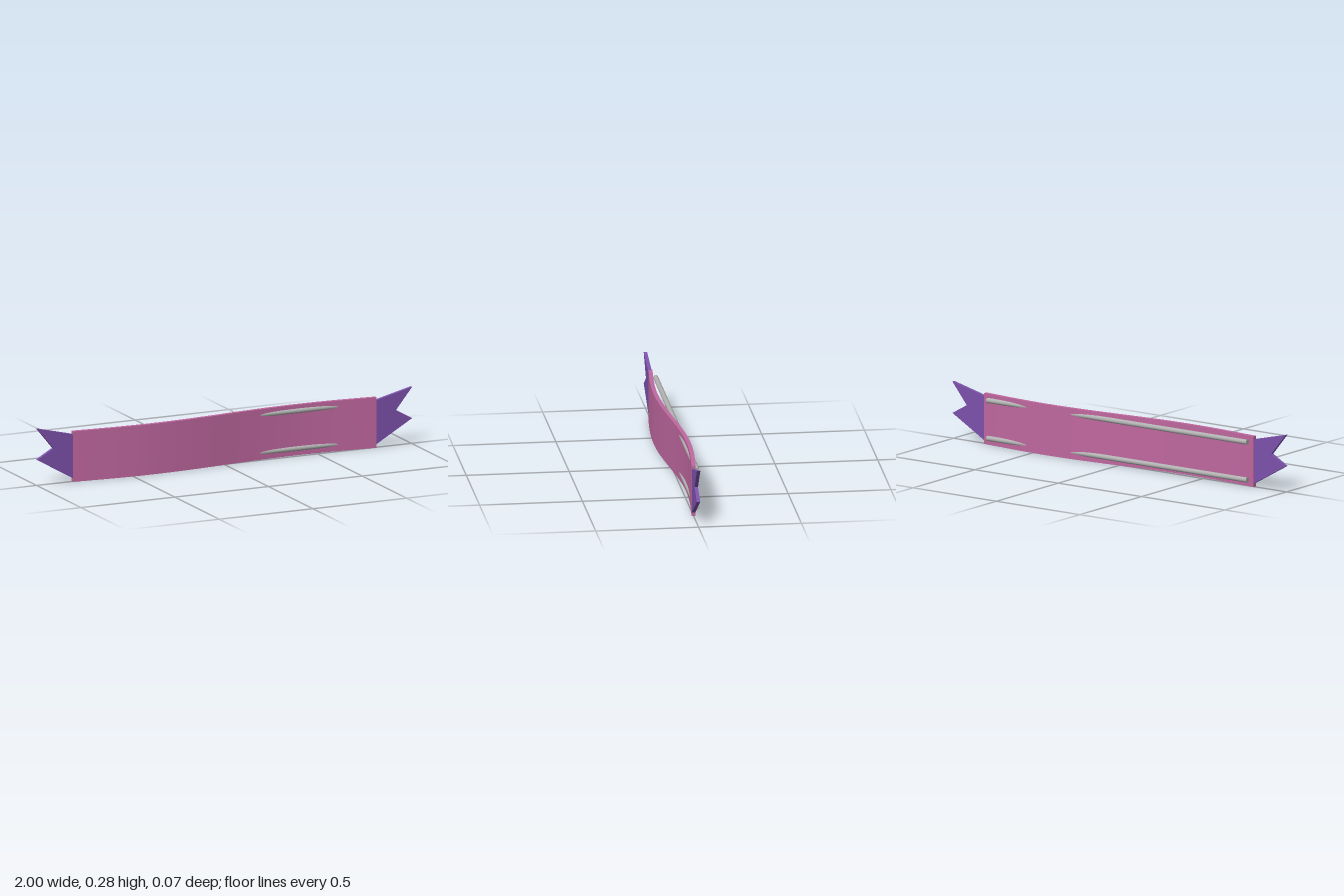
import * as THREE from 'three';

const HALF = 0.81, HEIGHT = 0.25, THICK = 0.02, WAVE = 0.027;

export function createModel() {
  const model = new THREE.Group();
  model.name = 'waveBanner';

  const pink = new THREE.MeshStandardMaterial({ color: 0xc068a0 });
  pink.name = 'pink cloth';
  const purple = new THREE.MeshStandardMaterial({ color: 0x7c52ac });
  purple.name = 'purple tail';
  const grey = new THREE.MeshStandardMaterial({ color: 0xb0b0b0 });
  grey.name = 'grey rod';

  const add = (name, geometry, material) => {
    const mesh = new THREE.Mesh(geometry, material);
    mesh.name = name;
    model.add(mesh);
    return mesh;
  };

  // Band: a thin box bent into one full sine wave along x
  const band = new THREE.BoxGeometry(HALF * 2, HEIGHT, THICK, 32, 1, 1);
  const pos = band.attributes.position;
  for (let i = 0; i < pos.count; i++) {
    pos.setZ(i, pos.getZ(i) - WAVE * Math.sin((Math.PI * pos.getX(i)) / HALF));
  }
  band.translate(0, HEIGHT / 2, 0);
  band.computeVertexNormals();
  add('band', band, pink);

  // Notched tails, mirrored left and right
  const depth = 0.017;
  for (const [name, s] of [['leftTail', 1], ['rightTail', -1]]) {
    const outline = [[0.8, 0.233], [1, 0.282], [0.914, 0.176], [1, 0.127], [0.8, 0.012]];
    const shape = new THREE.Shape(outline.map(([x, y]) => new THREE.Vector2(s * x, y)));
    const tail = new THREE.ExtrudeGeometry(shape, { depth, bevelEnabled: false });
    tail.translate(0, 0, -depth / 2);
    add(name, tail, purple);
  }

  // Straight rods running through the wave
  for (const [name, y] of [['upperRod', 0.22], ['lowerRod', 0.033]]) {
    const rod = new THREE.CylinderGeometry(0.0125, 0.0125, 1.56, 20);
    rod.rotateZ(Math.PI / 2);
    add(name, rod, grey).position.set(0, y, -0.021);
  }

  return model;
}
